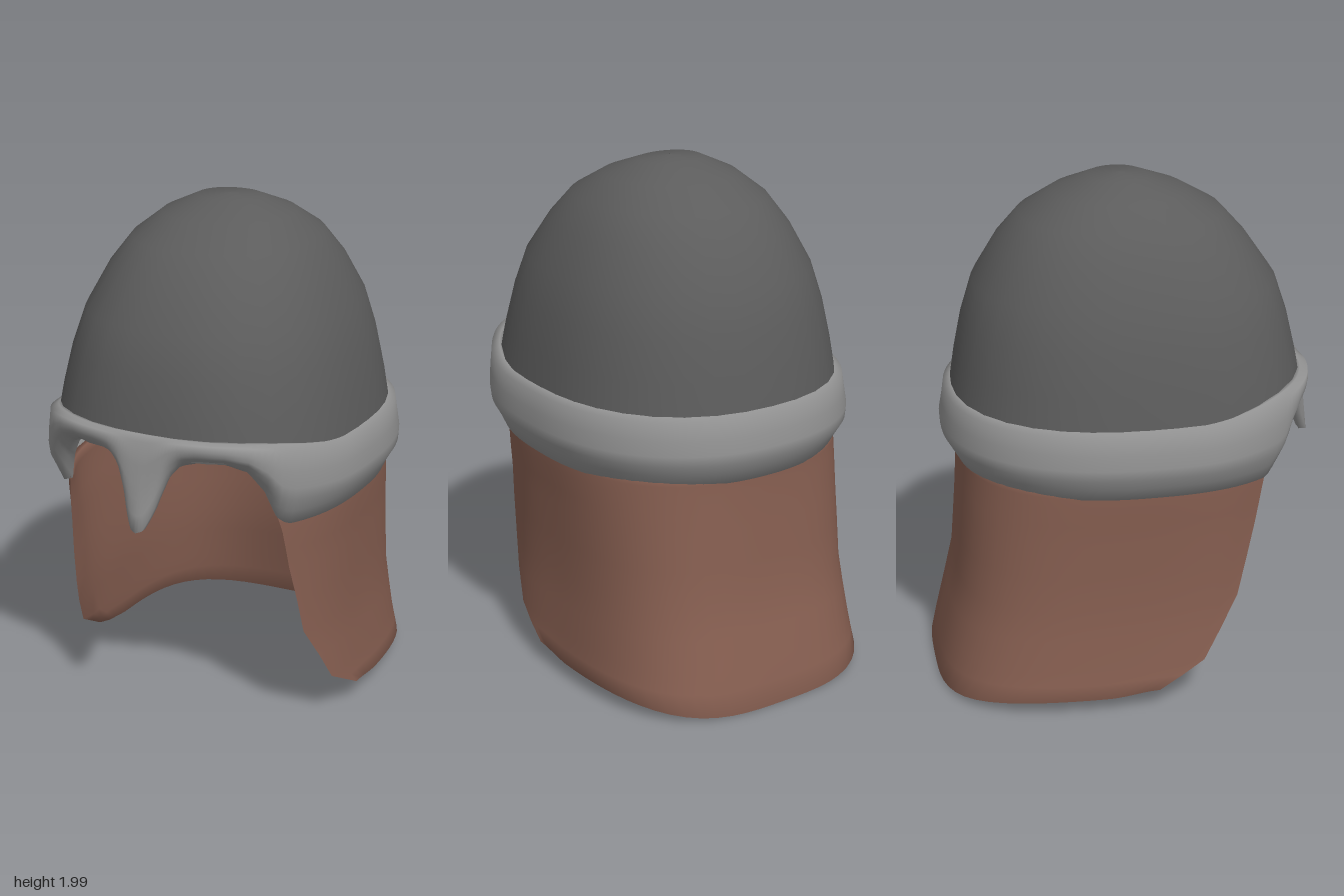
import * as THREE from 'three';

// Piecewise-linear lookup: table rows are [key, value, value...] with rising keys
function lookup(table, key) {
  if (key <= table[0][0]) return table[0].slice(1);
  for (let i = 1; i < table.length; i++) {
    const [p, q] = [table[i - 1], table[i]];
    if (key <= q[0]) {
      const t = (key - p[0]) / (q[0] - p[0]);
      return p.slice(1).map((v, k) => v + (q[k + 1] - v) * t);
    }
  }
  return table[table.length - 1].slice(1);
}

// Point of a rounded head outline at an angle measured from the front
function outline(angle, halfWidth, front, back, nFront, nBack) {
  const s = Math.sin(angle), c = Math.cos(angle);
  const depth = c > 0 ? front : back, n = c > 0 ? nFront : nBack;
  const r = Math.pow(Math.pow(Math.abs(s) / halfWidth, n) + Math.pow(Math.abs(c) / depth, n), -1 / n);
  return [r * s, r * c];
}

// Surface from rows (downwards) and columns (counter-clockwise from above)
function gridMesh(name, color, rows, cols, wrapRows, wrapCols, point) {
  const pos = [], index = [];
  for (let i = 0; i < rows; i++) for (let j = 0; j < cols; j++) pos.push(...point(i, j));
  for (let i = 0; i < (wrapRows ? rows : rows - 1); i++) {
    for (let j = 0; j < (wrapCols ? cols : cols - 1); j++) {
      const i2 = (i + 1) % rows, j2 = (j + 1) % cols;
      const a = i * cols + j, b = i2 * cols + j, c = i * cols + j2, d = i2 * cols + j2;
      index.push(a, b, c, b, d, c);
    }
  }
  const geometry = new THREE.BufferGeometry();
  geometry.setAttribute('position', new THREE.Float32BufferAttribute(pos, 3));
  geometry.setIndex(index);
  geometry.computeVertexNormals();
  const mesh = new THREE.Mesh(geometry, new THREE.MeshStandardMaterial({ color, side: THREE.DoubleSide }));
  mesh.name = name;
  return mesh;
}

// Domed skull: y, half width, front depth, back depth
function makeDome() {
  const rings = [
    [2.0, 0.001, 0.001, 0.001], [1.99, 0.13, 0.1, 0.12], [1.935, 0.25, 0.25, 0.26],
    [1.855, 0.35, 0.39, 0.39], [1.75, 0.425, 0.485, 0.48], [1.6, 0.5, 0.59, 0.57],
    [1.45, 0.545, 0.64, 0.615], [1.3, 0.575, 0.675, 0.645], [1.17, 0.595, 0.695, 0.665],
  ];
  const cols = 36;
  return gridMesh('dome', 0x5c5c5c, rings.length, cols, false, true, (i, j) => {
    const [y, w, f, b] = rings[i];
    const [x, z] = outline(j / cols * Math.PI * 2, w, f, b, 2.1 + 0.06 * i, 2.1 + 0.02 * i);
    return [x, y, z];
  });
}

// Brow band with eye arches and a nose guard drawn down from its lower edge
function makeBand() {
  // fraction of height, half width, front depth, back depth
  const section = [
    [0, 0.592, 0.688, 0.662], [0.05, 0.622, 0.718, 0.69], [0.3, 0.632, 0.72, 0.7],
    [0.5, 0.64, 0.715, 0.71], [0.65, 0.637, 0.705, 0.707], [0.82, 0.61, 0.69, 0.68],
    [1, 0.588, 0.665, 0.652],
  ];
  // distance from the middle, height of the lower edge
  const lowerEdge = [
    [0, 0.89], [0.025, 0.9], [0.055, 0.965], [0.075, 1.03], [0.1, 1.1], [0.14, 1.145], [0.2, 1.16],
    [0.3, 1.16], [0.37, 1.13], [0.42, 1.05], [0.455, 0.94], [0.48, 0.91],
  ];
  const n = section.length, cols = 144;
  return gridMesh('browBand', 0x939393, n * 2, cols, true, true, (i, j) => {
    const u = j / cols * Math.PI * 2;
    const angle = u - 0.6 * Math.sin(u);
    const inner = i >= n;
    const [f, w, front, back] = section[inner ? 2 * n - 1 - i : i];
    const [ex, ez] = outline(angle, 0.59, 0.67, 0.66, 2.6, 2.25);
    const top = 1.185 + 0.065 * THREE.MathUtils.smoothstep(ez, 0.2, 0.66);
    const bottom = ez > 0 ? lookup(lowerEdge, Math.abs(ex))[0] : 0.91;
    const nose = ez > 0 ? Math.exp(-Math.pow(ex / 0.09, 2)) : 0;
    const t = inner ? 0.028 : 0;
    const [x, z] = outline(angle, w - t, front - t, back - t, 2.6, 2.25);
    return [x, top + (bottom - top) * f, z + 0.1 * nose * f * f];
  });
}

// Hanging neck guard, open at the face and flared at the back
function makeNeckGuard() {
  // depth from the top, y, front edge z, half width, back depth, back squareness
  const profile = [
    [0, 0.95, 0.49, 0.582, 0.648, 2.4], [1, 0.87, 0.47, 0.58, 0.648, 2.5],
    [2, 0.72, 0.44, 0.569, 0.655, 2.7], [3, 0.43, 0.37, 0.56, 0.675, 3],
    [4, 0.19, 0.23, 0.577, 0.73, 3.1], [5, 0.09, 0.05, 0.59, 0.768, 3.2],
  ];
  const steps = 2, n = (profile.length - 1) * steps + 1, cols = 45, front = 0.63;
  return gridMesh('neckGuard', 0x875f51, n * 2, cols, true, false, (i, j) => {
    const inner = i >= n;
    const row = (inner ? 2 * n - 1 - i : i) / steps;
    const [y0, edgeZ, w, back, nb] = lookup(profile, row);
    const edgeX = w * Math.pow(1 - Math.pow(edgeZ / front, 2.6), 1 / 2.6);
    const start = Math.atan2(edgeX, edgeZ);
    const angle = start + (2 * Math.PI - 2 * start) * j / (cols - 1);
    const t = inner && j > 0 && j < cols - 1 ? 0.022 : 0;
    const [x, z] = outline(angle, w - t, front - t, back - t, 2.6, nb);
    // the hem sags towards the back
    const hem = 0.07 - 0.06 * Math.pow(Math.max(0, -z) / 0.768, 4) + 0.02 * THREE.MathUtils.smoothstep(z, -0.15, 0.05);
    const pull = THREE.MathUtils.clamp(row - 4, 0, 1);
    return [x, y0 + (hem - 0.09) * pull, z];
  });
}

export function createModel() {
  const helmet = new THREE.Group();
  helmet.name = 'helmet';
  helmet.add(makeDome(), makeBand(), makeNeckGuard());
  return helmet;
}
